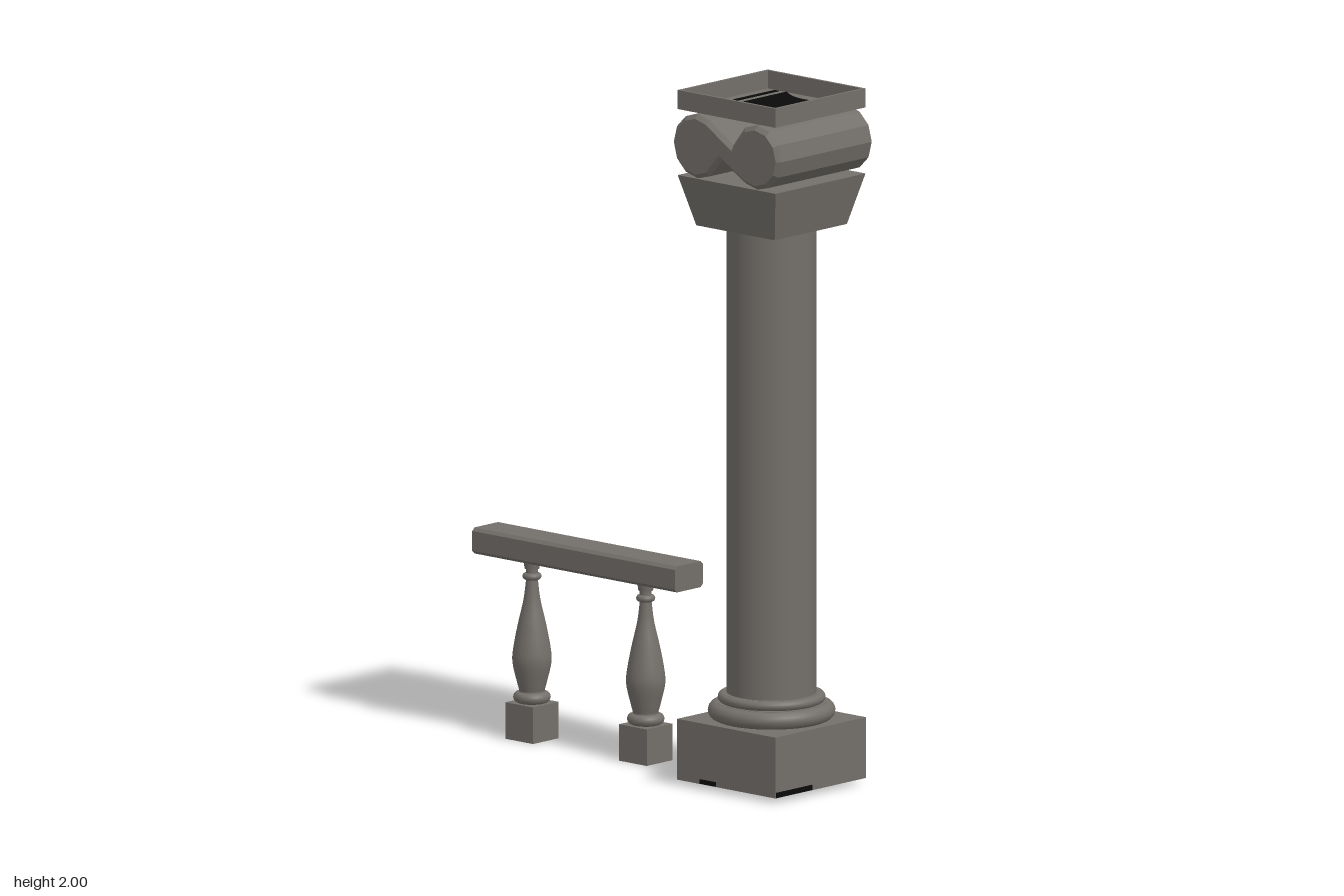
import * as THREE from 'three';

export function createModel() {
  const model = new THREE.Group();
  const stone = new THREE.MeshStandardMaterial({ name: 'greyStone', color: 0x736f6a, side: THREE.DoubleSide });
  const dark = new THREE.MeshStandardMaterial({ name: 'darkHollow', color: 0x0a0a0a, side: THREE.DoubleSide });

  const add = (parent, name, geometry, material, x = 0, y = 0, z = 0) => {
    const mesh = new THREE.Mesh(geometry, material);
    mesh.name = name;
    mesh.position.set(x, y, z);
    parent.add(mesh);
    return mesh;
  };

  // Square, optionally tapered block with flat faces
  const squareBlock = (topHalf, bottomHalf, height, open = false) => {
    const g = new THREE.CylinderGeometry(topHalf * Math.SQRT2, bottomHalf * Math.SQRT2, height, 4, 1, open)
      .rotateY(Math.PI / 4).toNonIndexed();
    g.computeVertexNormals();
    return g;
  };

  // ---- Column ----
  const column = new THREE.Group();
  column.name = 'column';
  column.position.set(-0.005, 0, 0.44);
  model.add(column);

  // Hollow plinth, open underneath
  add(column, 'plinthWalls', squareBlock(0.188, 0.188, 0.175, true), stone, 0, 0.1025, 0);
  const flat = (w, d) => new THREE.PlaneGeometry(w, d).rotateX(-Math.PI / 2);
  add(column, 'plinthTop', flat(0.376, 0.376), stone, 0, 0.19, 0);
  add(column, 'plinthHollow', new THREE.CircleGeometry(0.11, 24).rotateX(Math.PI / 2), dark, 0, 0.187, 0);
  add(column, 'plinthFrontChip', new THREE.BoxGeometry(0.15, 0.015, 0.004), dark, -0.112, 0.0235, 0.188);
  add(column, 'plinthSideChip', new THREE.BoxGeometry(0.004, 0.013, 0.06), dark, -0.188, 0.0225, -0.07);

  // Base mouldings and shaft
  const ring = (outer, tube) => new THREE.TorusGeometry(outer - tube, tube, 14, 40).rotateX(Math.PI / 2);
  add(column, 'lowerMoulding', ring(0.18, 0.025), stone, 0, 0.215, 0);
  add(column, 'mouldingCore', new THREE.CylinderGeometry(0.155, 0.155, 0.05, 40), stone, 0, 0.215, 0);
  add(column, 'upperMoulding', ring(0.152, 0.014), stone, 0, 0.253, 0);
  add(column, 'upperMouldingCore', new THREE.CylinderGeometry(0.138, 0.138, 0.028, 40), stone, 0, 0.253, 0);
  add(column, 'shaft', new THREE.CylinderGeometry(0.127, 0.127, 1.35, 40, 1, true), stone, 0, 0.935, 0);

  // Flared capital
  add(column, 'capital', squareBlock(0.187, 0.15, 0.145), stone, 0, 1.6825, 0);

  // Paired scroll: two twelve-sided rolls joined by a slanted waist, in (z, y)
  const bevel = 0.012, r = 0.08, roll = 0.114;
  const scroll = new THREE.Shape();
  const outline = [];
  const arc = (cx, from, to, steps) => {
    for (let i = 0; i <= steps; i++) {
      const a = THREE.MathUtils.degToRad(from + (to - from) * i / steps);
      outline.push(new THREE.Vector2(cx + r * Math.cos(a), r * Math.sin(a)));
    }
  };
  arc(roll, 45, 285, 0);
  outline.length = 0;
  arc(-roll, 60, 300, 8);
  outline.push(new THREE.Vector2(-0.025, -0.013));
  arc(roll, -120, 120, 8);
  outline.push(new THREE.Vector2(0.025, 0.007));
  scroll.setFromPoints(outline);
  const scrollGeometry = new THREE.ExtrudeGeometry(scroll, {
    depth: 0.398 - 2 * bevel, bevelEnabled: true, bevelSize: bevel, bevelThickness: bevel, bevelSegments: 1,
  }).translate(0, 0, -0.199 + bevel).rotateY(-Math.PI / 2).scale(1, 1, 1);
  // Local x becomes z, so the waist rises towards the back roll
  add(column, 'scroll', scrollGeometry, stone, 0.005, 1.848, 0);

  // Open tray on top with a dark sunken floor
  add(column, 'trayWalls', squareBlock(0.187, 0.187, 0.055, true), stone, 0, 1.9725, 0);
  add(column, 'trayInnerWalls', squareBlock(0.178, 0.178, 0.052, true), stone, 0, 1.974, 0);
  const rim = new THREE.Shape([[-1, -1], [1, -1], [1, 1], [-1, 1]].map(([x, y]) => new THREE.Vector2(x * 0.187, y * 0.187)));
  rim.holes.push(new THREE.Path([[-1, -1], [-1, 1], [1, 1], [1, -1]].map(([x, y]) => new THREE.Vector2(x * 0.178, y * 0.178))));
  add(column, 'trayRim', new THREE.ShapeGeometry(rim).rotateX(-Math.PI / 2), stone, 0, 2, 0);
  add(column, 'trayFloor', flat(0.374, 0.374), stone, 0, 1.946, 0);
  const hollow = new THREE.Shape();
  hollow.moveTo(-0.178, -0.105);
  hollow.lineTo(0.178, -0.105);
  hollow.quadraticCurveTo(0.09, 0, 0.178, 0.105);
  hollow.lineTo(-0.178, 0.105);
  hollow.quadraticCurveTo(-0.09, 0, -0.178, -0.105);
  add(column, 'trayHollow', new THREE.ShapeGeometry(hollow).rotateX(-Math.PI / 2), dark, 0, 1.95, 0);
  for (const s of [-1, 1]) {
    add(column, 'trayHollowStrip', flat(0.34, 0.022), dark, 0, 1.95, s * 0.134);
  }

  // ---- Balustrade ----
  const balustrade = new THREE.Group();
  balustrade.name = 'balustrade';
  balustrade.position.x = -0.012;
  model.add(balustrade);

  // Handrail with chamfered long edges
  const w = 0.058, h = 0.0375, c = 0.009;
  const section = new THREE.Shape([
    [w - c, -h], [w, -h + c], [w, h - c], [w - c, h], [-w + c, h], [-w, h - c], [-w, -h + c], [-w + c, -h],
  ].map(([x, y]) => new THREE.Vector2(x, y)));
  add(balustrade, 'handrail', new THREE.ExtrudeGeometry(section, { depth: 0.775, bevelEnabled: false }),
    stone, 0, 0.5525, -0.645);

  // Turned balusters on square feet
  const profile = new THREE.SplineCurve([
    [0.036, 0.14], [0.044, 0.17], [0.055, 0.22], [0.053, 0.26], [0.04, 0.33], [0.024, 0.4], [0.017, 0.455],
  ].map(([x, y]) => new THREE.Vector2(x, y))).getPoints(24);
  const body = new THREE.LatheGeometry(profile, 24);
  for (const z of [-0.035, -0.47]) {
    const baluster = new THREE.Group();
    baluster.name = 'baluster';
    baluster.position.z = z;
    balustrade.add(baluster);
    add(baluster, 'foot', new THREE.BoxGeometry(0.106, 0.105, 0.106), stone, 0, 0.0525, 0);
    add(baluster, 'footRing', ring(0.053, 0.016), stone, 0, 0.121, 0);
    add(baluster, 'footNeck', new THREE.CylinderGeometry(0.036, 0.038, 0.04, 24), stone, 0, 0.122, 0);
    add(baluster, 'body', body, stone);
    add(baluster, 'neck', new THREE.CylinderGeometry(0.017, 0.017, 0.05, 20), stone, 0, 0.475, 0);
    add(baluster, 'neckRing', ring(0.027, 0.01), stone, 0, 0.468, 0);
    add(baluster, 'topCollar', new THREE.CylinderGeometry(0.025, 0.021, 0.026, 20), stone, 0, 0.503, 0);
  }

  return model;
}
